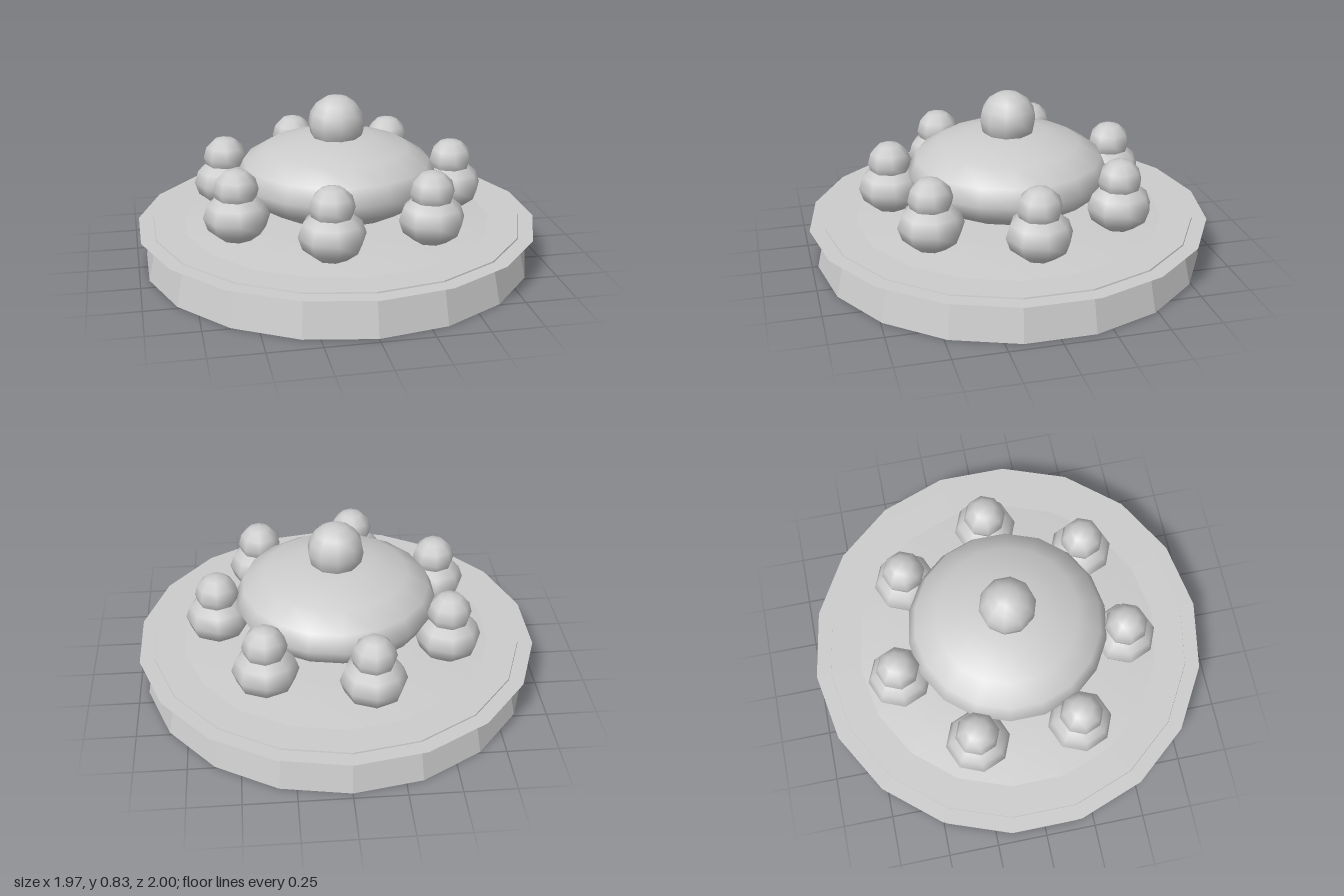
import * as THREE from 'three';

const smooth = new THREE.MeshStandardMaterial({ color: 0xcccccc });
const faceted = new THREE.MeshStandardMaterial({ color: 0xcccccc, flatShading: true });
const sheet = new THREE.MeshStandardMaterial({ color: 0xcccccc, side: THREE.DoubleSide });

function part(name, geometry, material, x = 0, y = 0, z = 0) {
  const mesh = new THREE.Mesh(geometry, material);
  mesh.name = name;
  mesh.position.set(x, y, z);
  return mesh;
}

// Low-poly ball, squashed to half height h, with a corner facing the front
function ball(r, h, sides, rings) {
  return new THREE.SphereGeometry(r, sides, rings).rotateY(Math.PI / 2).scale(1, h / r, 1);
}

export function createModel() {
  const model = new THREE.Group();
  model.name = 'domedDisc';
  const SIDES = 18;

  // Tapered plinth with a paper-thin brim just below its top
  model.add(part('plinth', new THREE.CylinderGeometry(0.925, 0.97, 0.204, SIDES), faceted, 0, 0.102));
  const brim = new THREE.CircleGeometry(1, SIDES, Math.PI / 2).rotateX(-Math.PI / 2);
  model.add(part('brim', brim, sheet, 0, 0.197));

  // Shallow mound that rises beneath the dome
  const mound = [[0.78, 0.203], [0.6, 0.222], [0.4, 0.234], [0, 0.24]]
    .map(([r, y]) => new THREE.Vector2(r, y));
  model.add(part('mound', new THREE.LatheGeometry(mound, SIDES), sheet));

  // Central dome and its knob
  model.add(part('dome', ball(0.5, 0.21, SIDES, 8), smooth, 0, 0.43));
  model.add(part('knob', ball(0.14, 0.14, 10, 8), smooth, 0, 0.695));

  // Ring of seven small two-ball figures
  const bodyGeometry = ball(0.16, 0.125, 8, 6);
  const headGeometry = ball(0.108, 0.105, 8, 6);
  for (let i = 0; i < 7; i++) {
    const a = (i / 7) * Math.PI * 2;
    const figure = new THREE.Group();
    figure.name = `figure${i + 1}`;
    figure.position.set(0.59 * Math.cos(a), 0, 0.59 * Math.sin(a));
    figure.add(
      part('figureBody', bodyGeometry, smooth, 0, 0.338),
      part('figureHead', headGeometry, smooth, 0, 0.47),
    );
    model.add(figure);
  }
  return model;
}
